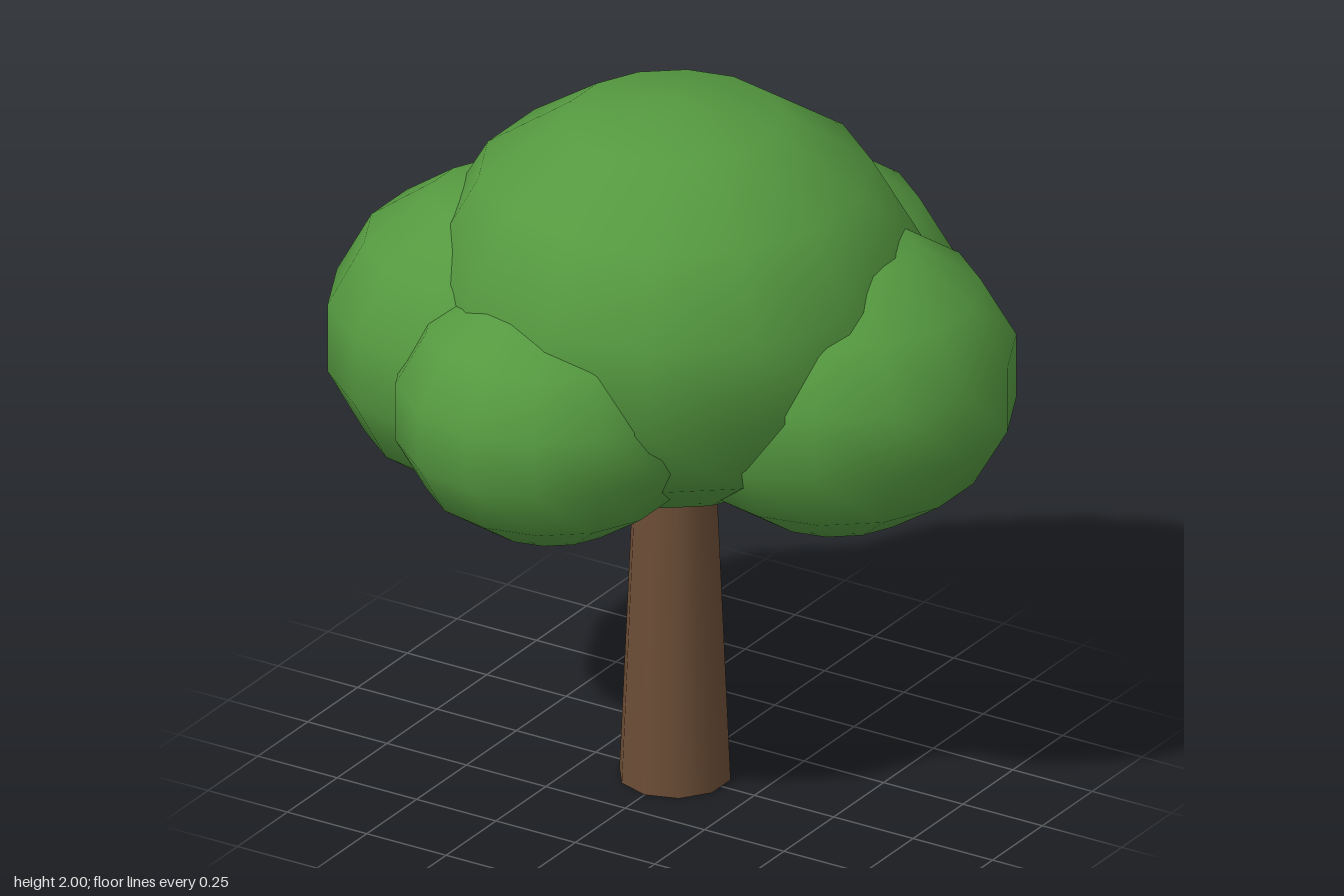
import * as THREE from 'three';

export function createModel() {
  const tree = new THREE.Group();
  tree.name = 'tree';

  const leafGreen = new THREE.MeshStandardMaterial({ color: 0x559940 });
  leafGreen.name = 'leafGreen';
  const barkBrown = new THREE.MeshStandardMaterial({ color: 0x6b4d36 });
  barkBrown.name = 'barkBrown';

  // Tapered ten-sided trunk, its top hidden inside the crown
  const trunk = new THREE.Mesh(new THREE.CylinderGeometry(0.109, 0.153, 1, 10), barkBrown);
  trunk.position.y = 0.5;
  trunk.name = 'trunk';
  tree.add(trunk);

  // Slightly flattened foliage balls: name, centre, horizontal radius, vertical radius
  const crown = new THREE.Group();
  crown.name = 'crown';
  tree.add(crown);
  const clumps = [
    ['mainFoliage', [0, 1.435, 0], 0.677, 0.565],
    ['rightFoliage', [-0.42, 1.27, 0.15], 0.507, 0.446],
    ['leftFoliage', [0.427, 1.24, -0.125], 0.498, 0.42],
    ['frontFoliage', [-0.12, 1.237, 0.43], 0.43, 0.367],
    ['backFoliage', [0.09, 1.298, -0.4], 0.467, 0.398],
  ];
  for (const [name, centre, radius, halfHeight] of clumps) {
    const ball = new THREE.SphereGeometry(1, 14, 7);
    ball.rotateY(Math.PI / 2);
    ball.scale(radius, halfHeight, radius);
    const clump = new THREE.Mesh(ball, leafGreen);
    clump.position.set(...centre);
    clump.name = name;
    crown.add(clump);
  }
  return tree;
}
